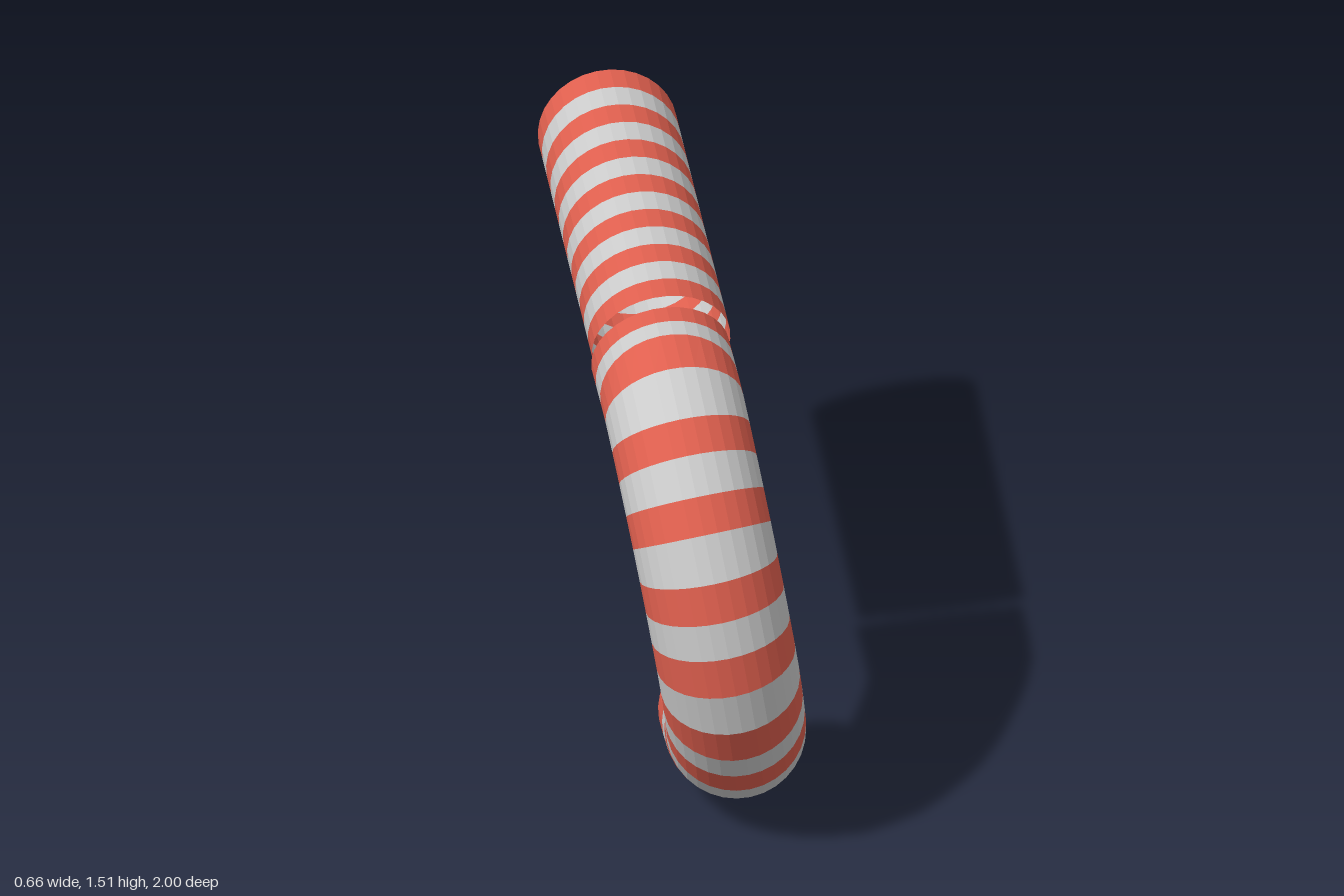
import * as THREE from 'three';

const RADIUS = 0.195;
const SIDES = 32;
const RED = 0xe0604f;
const GREY = 0xcccccc;
// Normal of the tilted plane the whole cane lies in
const NORMAL = new THREE.Vector3(1, 0.165, 0.18).normalize();

// Ring of points round the path; shear slants it like the broken edge
function ring(curve, u, shear) {
  const centre = curve.getPointAt(u);
  const t = curve.getTangentAt(u);
  const side = NORMAL.clone().addScaledVector(t, -NORMAL.dot(t)).normalize();
  const up = t.clone().cross(side);
  const points = [];
  for (let j = 0; j <= SIDES; j++) {
    const a = (j / SIDES) * Math.PI * 2;
    points.push(centre.clone()
      .addScaledVector(side, Math.cos(a) * RADIUS)
      .addScaledVector(up, Math.sin(a) * RADIUS)
      .addScaledVector(t, Math.sin(a) * shear));
  }
  return { centre, points };
}

function stripeMesh(name, triangles, color) {
  const geometry = new THREE.BufferGeometry().setFromPoints(triangles);
  geometry.computeVertexNormals();
  const material = new THREE.MeshStandardMaterial({ color, flatShading: true, side: THREE.DoubleSide });
  const mesh = new THREE.Mesh(geometry, material);
  mesh.name = name;
  return mesh;
}

// Striped tube: alternate bands, one end capped, the broken end left open
function stripedPiece(name, curve, bands, shearAt, capStart) {
  const rings = [];
  for (let i = 0; i <= bands; i++) rings.push(ring(curve, i / bands, shearAt(i)));

  const red = [], grey = [];
  for (let i = 0; i < bands; i++) {
    const p = rings[i].points, q = rings[i + 1].points;
    const target = i % 2 ? grey : red;
    for (let j = 0; j < SIDES; j++) {
      target.push(p[j], p[j + 1], q[j + 1], p[j], q[j + 1], q[j]);
    }
  }

  // Flat end cap
  const { centre, points } = capStart ? rings[0] : rings[bands];
  for (let j = 0; j < SIDES; j++) {
    if (capStart) red.push(centre, points[j + 1], points[j]);
    else red.push(centre, points[j], points[j + 1]);
  }

  const piece = new THREE.Group();
  piece.name = name;
  piece.add(stripeMesh(name + 'RedStripes', red, RED), stripeMesh(name + 'GreyStripes', grey, GREY));
  return piece;
}

export function createModel() {
  const model = new THREE.Group();
  model.name = 'brokenCane';

  // Straight shaft, from the back end to the break
  const shaft = new THREE.LineCurve3(
    new THREE.Vector3(0.14, 1.315, -0.965),
    new THREE.Vector3(-0.065, 1.287, 0.155));
  model.add(stripedPiece('shaft', shaft, 13, (i) => 0.065 * i / 13, true));

  // Hook, from the break round to the tip, as [z, y] in the tilted plane
  const hook = new THREE.CatmullRomCurve3([
    [0.2, 1.28], [0.34, 1.278], [0.48, 1.265], [0.605, 1.16], [0.69, 1.055],
    [0.758, 0.935], [0.803, 0.696], [0.788, 0.56], [0.731, 0.45],
    [0.659, 0.348], [0.562, 0.262], [0.407, 0.198], [0.321, 0.196],
  ].map(([z, y]) => new THREE.Vector3(-0.1 - 0.165 * (y - 1.28) - 0.18 * (z - 0.3), y, z)));
  model.add(stripedPiece('hook', hook, 19, (i) => 0.07 * Math.max(0, 1 - i / 4), false));

  return model;
}
